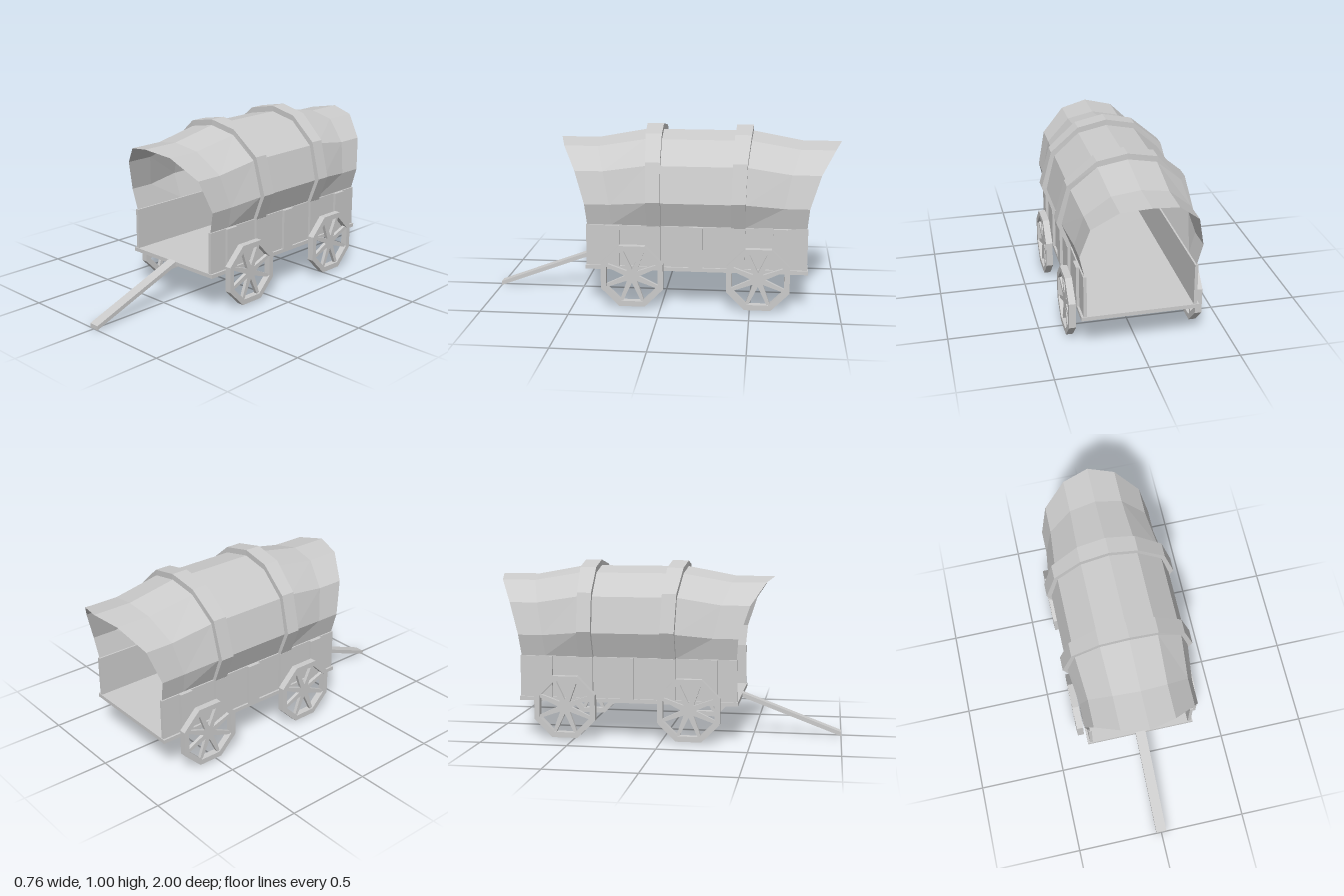
import * as THREE from 'three';

const MID = -0.195; // z of the wagon body's middle

const material = new THREE.MeshStandardMaterial({ color: 0xcccccc, flatShading: true });
const clothMaterial = new THREE.MeshStandardMaterial({ color: 0xcccccc, flatShading: true, side: THREE.DoubleSide });

// Half arch profiles [x, y], from the top down to the wall
const INNER = [[0, 0.967], [0.162, 0.935], [0.303, 0.81], [0.353, 0.61], [0.3, 0.47]];
const OUTER = [[0, 1], [0.165, 0.967], [0.322, 0.833], [0.381, 0.62], [0.322, 0.47]];
const FLARE = [[0, 0.915], [0.152, 0.888], [0.283, 0.77], [0.328, 0.59], [0.3, 0.47]];

// Front hoop edges and cover edges: z for each profile point
const HOOP_FRONT = [0.11, 0.103, 0.086, 0.08, 0.08];
const HOOP_BACK = [0.015, 0.01, 0.005, 0, 0];
const FLARE_Z = [0.39, 0.375, 0.33, 0.29, 0.28];
const END_Z = [0.61, 0.57, 0.49, 0.43, 0.42];
const flip = (zs) => zs.map((z) => 2 * MID - z);

// Whole arch from the left (+x) over the top to the right (-x)
function arch(profile, zs) {
  const half = profile.map(([x, y], i) => new THREE.Vector3(x, y, zs[i]));
  const mirrored = half.slice(1).map((p) => new THREE.Vector3(-p.x, p.y, p.z));
  return [...half.reverse(), ...mirrored];
}

// Skin between successive rows of points
function loft(rows) {
  const points = [];
  for (let r = 0; r < rows.length - 1; r++) {
    for (let i = 0; i < rows[r].length - 1; i++) {
      const a = rows[r][i], b = rows[r + 1][i], c = rows[r + 1][i + 1], d = rows[r][i + 1];
      points.push(a, b, c, a, c, d);
    }
  }
  const geometry = new THREE.BufferGeometry().setFromPoints(points);
  geometry.computeVertexNormals();
  return geometry;
}

function add(parent, name, geometry, x = 0, y = 0, z = 0, mat = material) {
  const mesh = new THREE.Mesh(geometry, mat);
  mesh.name = name;
  mesh.position.set(x, y, z);
  parent.add(mesh);
  return mesh;
}

const box = (w, h, d) => new THREE.BoxGeometry(w, h, d);

// Extrude an outline drawn in (z, y) along x, centred on x = 0
function extrudeX(shape, width) {
  const geometry = new THREE.ExtrudeGeometry(shape, { depth: width, bevelEnabled: false });
  geometry.translate(0, 0, -width / 2);
  geometry.rotateY(-Math.PI / 2);
  return geometry;
}

function octagon(radius) {
  return Array.from({ length: 8 }, (_, i) => {
    const a = Math.PI / 8 + (i * Math.PI) / 4;
    return new THREE.Vector2(radius * Math.cos(a), radius * Math.sin(a));
  });
}

function makeWheel() {
  const wheel = new THREE.Group();
  wheel.name = 'wheel';
  const rim = new THREE.Shape(octagon(0.19));
  rim.holes.push(new THREE.Path(octagon(0.157).reverse()));
  add(wheel, 'rim', extrudeX(rim, 0.038));

  // Tapered spokes joined in the middle, one to each rim corner
  const star = [];
  for (let i = 0; i < 8; i++) {
    const a = Math.PI / 8 + (i * Math.PI) / 4;
    for (const [r, da] of [[0.16, -0.055], [0.16, 0.055], [0.04, Math.PI / 8]]) {
      star.push(new THREE.Vector2(r * Math.cos(a + da), r * Math.sin(a + da)));
    }
  }
  add(wheel, 'spokes', extrudeX(new THREE.Shape(star), 0.02));
  return wheel;
}

export function createModel() {
  const wagon = new THREE.Group();
  wagon.name = 'coveredWagon';

  // Bed
  add(wagon, 'bed', box(0.64, 0.022, 1.25), 0, 0.224, MID);

  // Side walls with upright battens
  for (const side of [1, -1]) {
    add(wagon, 'sideWall', box(0.018, 0.237, 1.24), side * 0.299, 0.3515, MID);
    for (let i = -2; i <= 2; i++) {
      add(wagon, 'batten', box(0.019, 0.235, 0.078), side * 0.3145, 0.3525, MID + i * 0.235);
    }
  }

  // Cloth cover, flared at both ends
  const cover = loft([
    arch(FLARE, END_Z),
    arch(FLARE, FLARE_Z),
    arch(INNER, HOOP_FRONT),
    arch(INNER, flip(HOOP_FRONT)),
    arch(FLARE, flip(FLARE_Z)),
    arch(FLARE, flip(END_Z)),
  ]);
  add(wagon, 'cover', cover, 0, 0, 0, clothMaterial);

  // Hoops over the cover
  for (const [front, back] of [[HOOP_FRONT, HOOP_BACK], [flip(HOOP_BACK), flip(HOOP_FRONT)]]) {
    const outerFront = arch(OUTER, front);
    const rows = [outerFront, arch(OUTER, back), arch(INNER, back), arch(INNER, front), outerFront];
    add(wagon, 'hoop', loft(rows), 0, 0, 0, clothMaterial);
  }

  // Wheels
  for (const side of [1, -1]) {
    for (const z of [0.16, -0.545]) {
      const wheel = makeWheel();
      wheel.position.set(side * 0.349, 0.189, z);
      wagon.add(wheel);
    }
  }

  // Sloping draw pole
  const pole = new THREE.Shape([[0.425, 0.213], [1, 0], [1, 0.024], [0.425, 0.238]].map(([z, y]) => new THREE.Vector2(z, y)));
  add(wagon, 'drawPole', extrudeX(pole, 0.06));

  return wagon;
}
